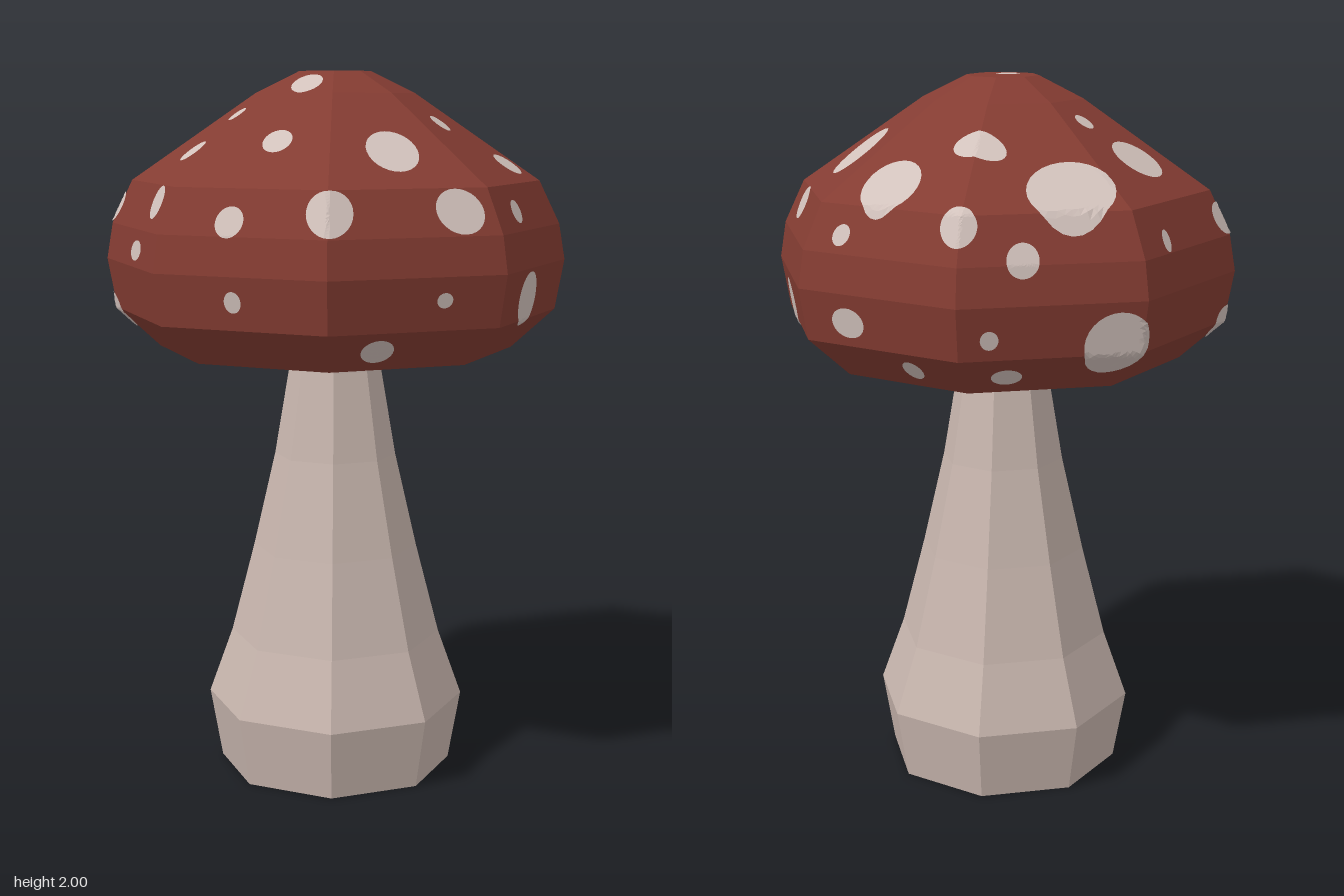
import * as THREE from 'three';

const TWIST = -0.031; // slight turn of the octagon about y

const material = (name, color) => {
  const m = new THREE.MeshStandardMaterial({ color });
  m.name = name;
  return m;
};

// Eight-sided turned solid with flat facets, profile given bottom to top
function turned(name, profile, mat) {
  const points = profile.map(([r, y]) => new THREE.Vector2(r, y));
  const geo = new THREE.LatheGeometry(points, 8, TWIST).toNonIndexed();
  geo.computeVertexNormals();
  const mesh = new THREE.Mesh(geo, mat);
  mesh.name = name;
  return mesh;
}

// Spots on the slopes, dropped from above: x, z, half width, half depth, tilt
const SLOPE_SPOTS = [
  [-0.13, -0.45, 0.082, 0.075, 0.2], [0.156, -0.36, 0.071, 0.08, 0.2],
  [0.40, -0.267, 0.034, 0.049, 0.1], [0.305, -0.094, 0.026, 0.03, 0],
  [0.375, 0.167, 0.066, 0.073, 0], [0.05, 0.156, 0.042, 0.045, 0.2],
  [-0.11, 0.264, 0.028, 0.021, 0], [-0.15, 0.39, 0.038, 0.033, 0],
  [0.139, 0.35, 0.042, 0.037, 0], [-0.37, 0.167, 0.057, 0.077, 0.1],
  [-0.27, 0.066, 0.022, 0.027, 0], [-0.014, 0.007, 0.025, 0.033, -0.5],
  [-0.46, -0.125, 0.083, 0.118, -0.3], [-0.246, -0.253, 0.07, 0.042, 0.6],
];

// Spots on the steep rim, pressed in from the side: x, y, z, half width, half height, tilt
const RIM_SPOTS = [
  [0.27, 1.66, -0.50, 0.055, 0.042, 0], [0.555, 1.63, -0.12, 0.033, 0.03, 0],
  [0.56, 1.64, 0.11, 0.065, 0.057, 0], [0.41, 1.64, 0.43, 0.058, 0.058, 0],
  [0.167, 1.615, 0.55, 0.04, 0.039, 0], [-0.097, 1.655, 0.55, 0.043, 0.043, 0],
  [-0.437, 1.625, 0.40, 0.043, 0.043, 0], [-0.38, 1.67, -0.413, 0.046, 0.047, 0],
  [-0.497, 1.59, -0.305, 0.042, 0.043, 0], [-0.08, 1.625, -0.573, 0.026, 0.027, 0],
  [-0.566, 1.61, 0.097, 0.018, 0.028, 0], [-0.19, 1.525, 0.59, 0.048, 0.027, 0.1],
  [0.2, 1.415, 0.59, 0.024, 0.028, 0], [-0.43, 1.34, 0.41, 0.062, 0.045, -0.4],
  [0.44, 1.29, 0.29, 0.045, 0.033, 0], [0.59, 1.42, 0.18, 0.022, 0.02, 0],
  [0.58, 1.4, -0.16, 0.068, 0.073, 0], [0.28, 1.39, -0.56, 0.075, 0.07, 0],
  [-0.123, 1.405, -0.6, 0.05, 0.04, 0], [-0.26, 1.29, -0.49, 0.03, 0.028, 0],
  [-0.47, 1.395, -0.39, 0.023, 0.025, 0], [-0.45, 1.285, -0.32, 0.04, 0.025, 0],
  [-0.6, 1.37, -0.08, 0.085, 0.085, 0],
];

// Spots on the flat underside: x, z, half width, half depth
const UNDER_SPOTS = [
  [0.07, -0.36, 0.06, 0.05], [0.13, 0.34, 0.05, 0.05], [-0.43, -0.01, 0.045, 0.05],
];

export function createModel() {
  const capRed = material('cap red', 0x843c32);
  const spotCream = material('spot cream', 0xd2c2bc);
  const stemBeige = material('stem beige', 0xc8b6ae);

  const model = new THREE.Group();
  model.name = 'mushroom';

  // Stem with a swollen foot
  model.add(turned('stem', [
    [0, 0], [0.335, 0], [0.37, 0.2], [0.302, 0.39], [0.235, 0.65],
    [0.173, 0.92], [0.131, 1.17], [0.125, 1.24],
  ], stemBeige));

  // Faceted cap
  const cap = turned('cap', [
    [0, 1.23], [0.5, 1.23], [0.622, 1.34], [0.647, 1.48], [0.63, 1.58],
    [0.572, 1.7], [0.222, 1.94], [0.1, 2], [0, 2],
  ], capRed);
  model.add(cap);

  // Thin spots: an ellipse in the plane of right and up, cast along dir onto the cap
  const spots = new THREE.Group();
  spots.name = 'spots';
  model.add(spots);
  const caster = new THREE.Raycaster();
  function addSpot(centre, dir, right, up, a, b, tilt = 0) {
    const geo = new THREE.RingGeometry(0.001, 1, 28, 8);
    const pos = geo.attributes.position;
    const cos = Math.cos(tilt), sin = Math.sin(tilt);
    for (let i = 0; i < pos.count; i++) {
      const px = pos.getX(i) * a, py = pos.getY(i) * b;
      const start = centre.clone()
        .addScaledVector(right, px * cos - py * sin)
        .addScaledVector(up, px * sin + py * cos);
      caster.set(start, dir);
      const hit = caster.intersectObject(cap)[0];
      if (!hit) throw new Error('spot lies off the cap');
      const p = hit.point.addScaledVector(hit.face.normal, 0.004);
      pos.setXYZ(i, p.x, p.y, p.z);
    }
    const flat = geo.toNonIndexed();
    flat.computeVertexNormals();
    const mesh = new THREE.Mesh(flat, spotCream);
    mesh.name = 'spot';
    spots.add(mesh);
  }

  const X = new THREE.Vector3(1, 0, 0), Y = new THREE.Vector3(0, 1, 0), Z = new THREE.Vector3(0, 0, 1);
  const down = Y.clone().negate(), back = Z.clone().negate();

  for (const [x, z, a, b, tilt] of SLOPE_SPOTS)
    addSpot(new THREE.Vector3(x, 3, z), down, X, back, a, b, tilt);

  for (const [x, y, z, a, b, tilt] of RIM_SPOTS) {
    const out = new THREE.Vector3(x, 0, z).normalize();
    const right = new THREE.Vector3().crossVectors(Y, out);
    const centre = out.clone().multiplyScalar(2).setY(y);
    addSpot(centre, out.clone().negate(), right, Y, a, b, tilt);
  }

  for (const [x, z, a, b] of UNDER_SPOTS)
    addSpot(new THREE.Vector3(x, 0.5, z), Y, X, Z, a, b);

  return model;
}
